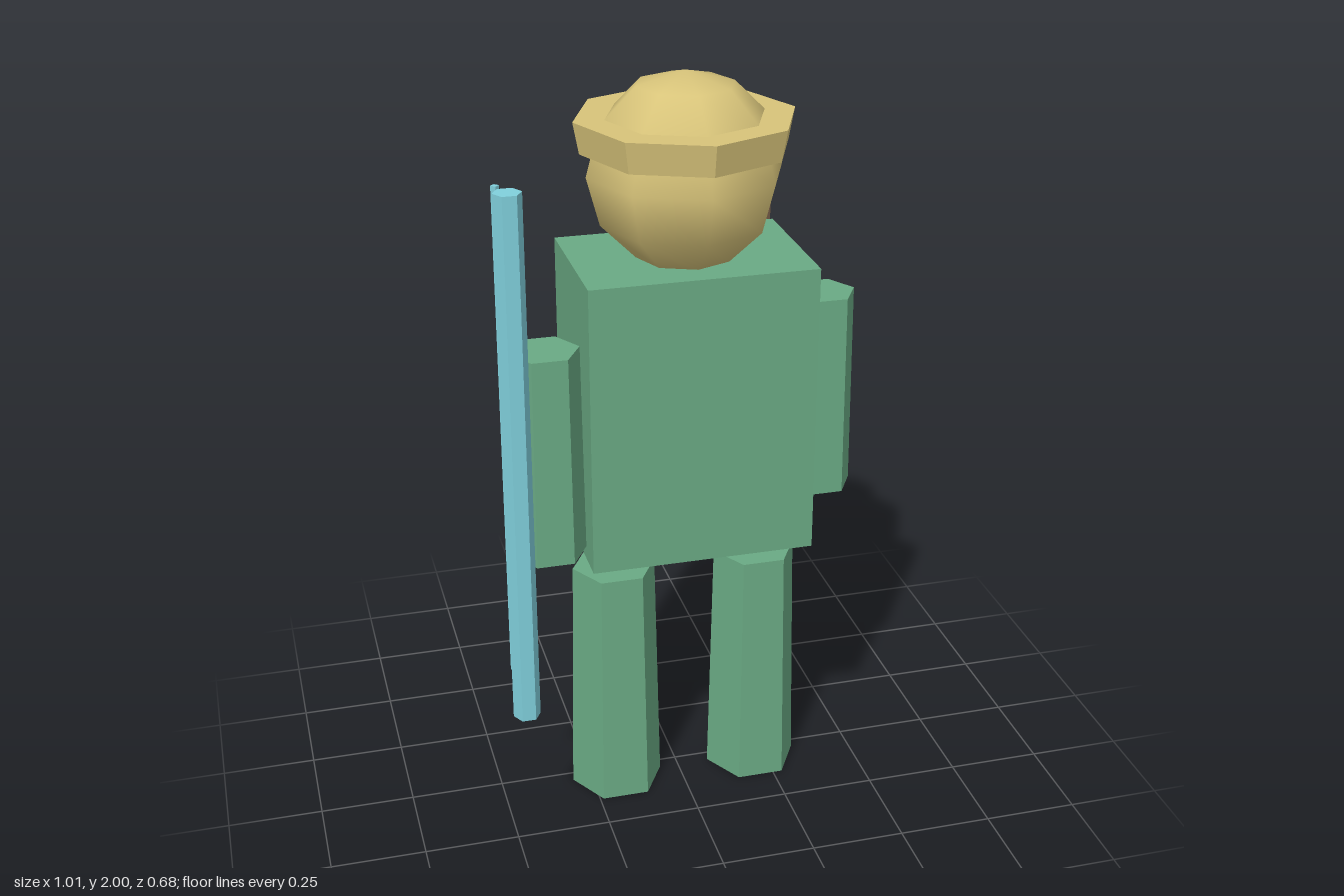
import * as THREE from 'three';

const CX = 0.0175, CZ = 0.0325; // body axis

export function createModel() {
  const model = new THREE.Group();
  const mat = (color, flatShading = true) => new THREE.MeshStandardMaterial({ color, flatShading });
  const green = mat(0x6aaa84), tan = mat(0xd8c47a), brown = mat(0x9a7b60), cyan = mat(0x80d0dc);

  const add = (name, geometry, material, x, y, z) => {
    const mesh = new THREE.Mesh(geometry, material);
    mesh.name = name;
    mesh.position.set(x, y, z);
    model.add(mesh);
    return mesh;
  };

  // Upright tapered prism between two heights, with corners on the x axis
  const prism = (name, material, x, z, y0, y1, rBottom, rTop, sides = 6) => {
    const geometry = new THREE.CylinderGeometry(rTop, rBottom, y1 - y0, sides).rotateY(Math.PI / 2);
    return add(name, geometry, material, x, (y0 + y1) / 2, z);
  };

  // Body
  add('torso', new THREE.BoxGeometry(0.585, 0.77, 0.395), green, CX, 1.15, CZ);

  // Head and hat brim
  add('head', new THREE.SphereGeometry(0.25, 8, 6), mat(0xd8c47a, false), CX, 1.75, CZ);
  prism('hatBrim', tan, CX, CZ, 1.81, 1.89, 0.265, 0.28, 8);

  // Legs
  for (const [name, side] of [['leftLeg', 1], ['rightLeg', -1]])
    prism(name, green, CX + side * 0.195, CZ, 0, 0.675, 0.126, 0.112);

  // Arms: the right one reaches forward, the left one back
  prism('leftArm', green, 0.409, -0.04, 0.815, 1.37, 0.096, 0.09);
  prism('rightArm', green, -0.376, 0.171, 0.815, 1.37, 0.096, 0.09);

  // Quiver on the back
  prism('quiver', brown, 0.2265, -0.248, 0.91, 1.75, 0.0845, 0.111);

  // Bow and its string
  prism('bow', cyan, -0.474, 0.31, 0.425, 1.82, 0.035, 0.035);
  prism('bowString', cyan, -0.474, 0.143, 0.46, 1.785, 0.0105, 0.0105, 4);

  return model;
}
